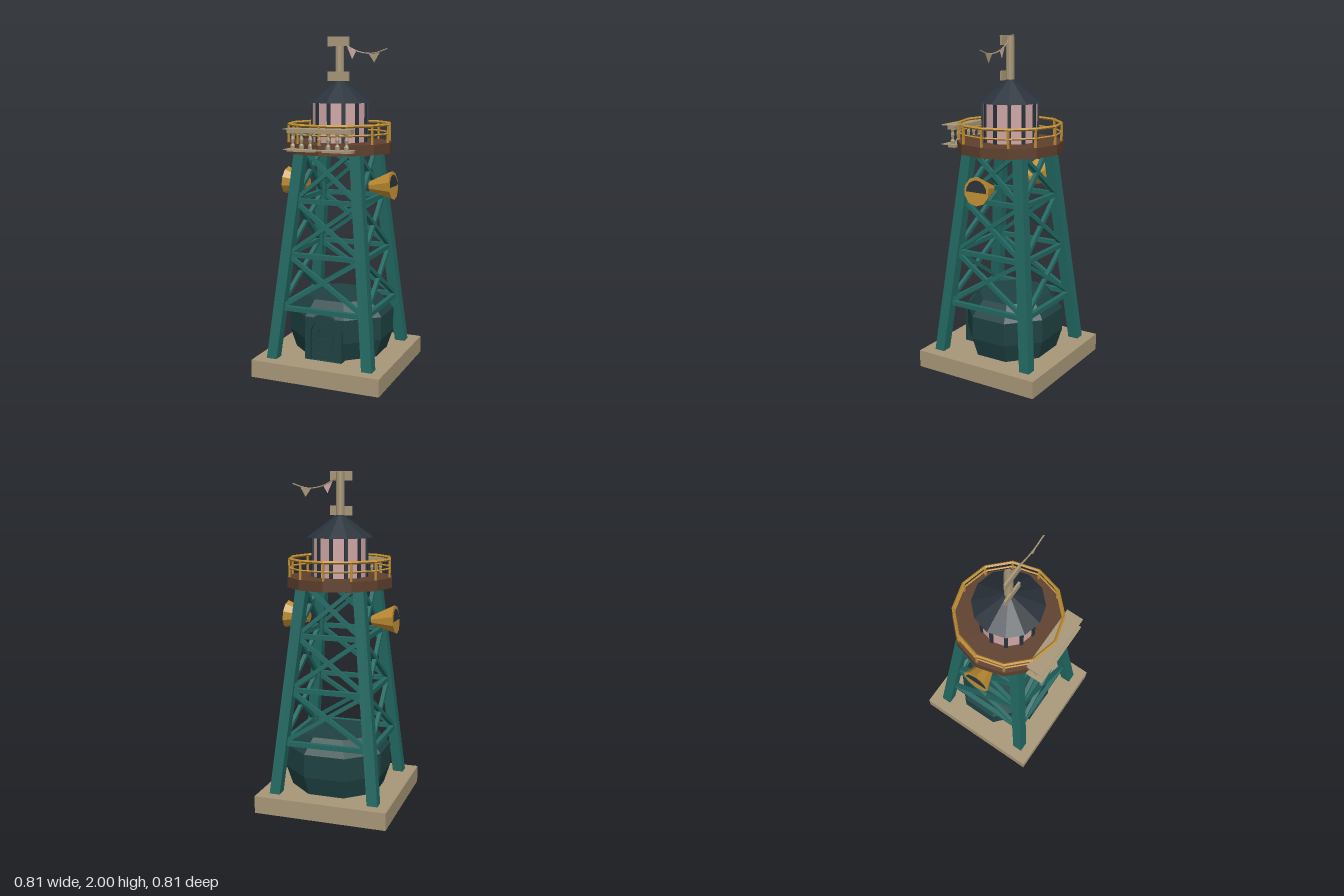
import * as THREE from 'three';

const mat = (name, color, side = THREE.FrontSide) => {
  const m = new THREE.MeshStandardMaterial({ color, side });
  m.name = name;
  return m;
};

export function createModel() {
  const root = new THREE.Group();
  root.name = 'watchTower';
  const tan = mat('weatheredTan', 0xa89778);
  const teal = mat('tealPaint', 0x226862);
  const darkTeal = mat('darkTeal', 0x1f4142);
  const brown = mat('deckBrown', 0x5e3f2c);
  const gold = mat('brassGold', 0xbf8d33);
  const slate = mat('slate', 0x2a323b);
  const pink = mat('pinkGlass', 0xd0a6a6);
  const tanCloth = mat('tanCloth', 0xa89778, THREE.DoubleSide);
  const pinkCloth = mat('pinkCloth', 0xd0a6a6, THREE.DoubleSide);

  // Faceted mesh: unshared vertices give flat normals
  const add = (name, geo, material, parent = root) => {
    const g = geo.index ? geo.toNonIndexed() : geo;
    g.computeVertexNormals();
    const m = new THREE.Mesh(g, material);
    m.name = name;
    parent.add(m);
    return m;
  };
  const box = (name, w, h, d, x, y, z, material, parent) =>
    add(name, new THREE.BoxGeometry(w, h, d).translate(x, y, z), material, parent);
  const bar = (name, a, b, t, material, parent) => {
    const dir = b.clone().sub(a);
    const m = add(name, new THREE.BoxGeometry(t, dir.length(), t), material, parent);
    m.position.copy(a).add(b).multiplyScalar(0.5);
    m.quaternion.setFromUnitVectors(new THREE.Vector3(0, 1, 0), dir.normalize());
    return m;
  };
  const V = (x, y, z) => new THREE.Vector3(x, y, z);

  // Plinth
  box('plinth', 0.806, 0.105, 0.806, 0, 0.0525, 0, tan);

  // Four leaning legs, sheared towards the axis
  const spread = (y) => 0.3027 - 0.105 * (y - 0.105);
  for (const sx of [-1, 1]) for (const sz of [-1, 1]) {
    const g = new THREE.BoxGeometry(0.064, 1.28, 0.064).translate(0, 0.745, 0);
    const p = g.attributes.position;
    for (let i = 0; i < p.count; i++) {
      const c = spread(p.getY(i));
      p.setX(i, p.getX(i) + sx * c);
      p.setZ(i, p.getZ(i) + sz * c);
    }
    add('leg', g, teal);
  }

  // Girders and cross braces on each side
  const levels = [0.41, 0.73, 1.05, 1.36];
  for (let s = 0; s < 4; s++) {
    const side = new THREE.Group();
    side.name = 'bracedSide';
    side.rotation.y = s * Math.PI / 2;
    root.add(side);
    for (let i = 0; i < 3; i++) {
      const y0 = levels[i], y1 = levels[i + 1], c0 = spread(y0), c1 = spread(y1);
      bar('girder', V(-c0, y0, c0), V(c0, y0, c0), 0.028, teal, side);
      for (const k of [-1, 1])
        bar('crossBrace', V(-k * c0, y0, c0), V(k * c1, y1, c1), 0.024, teal, side);
    }
  }

  // Octagonal hut between the legs
  const k = 1 / Math.cos(Math.PI / 8);
  const hutProfile = [[0, 0.105], [0.88, 0.105], [1, 0.22], [1, 0.36], [0.74, 0.45], [0, 0.45]]
    .map(([r, y]) => new THREE.Vector2(r * k, y));
  add('hut', new THREE.LatheGeometry(hutProfile, 8, Math.PI / 8)
    .scale(0.3, 1, 0.27).translate(0, 0, -0.033), darkTeal);

  // Arched door
  const arch = (Cls, w, y0, top) => {
    const s = new Cls();
    s.moveTo(-w, y0);
    s.lineTo(w, y0);
    s.lineTo(w, top - w);
    s.absarc(0, top - w, w, 0, Math.PI, false);
    s.lineTo(-w, y0);
    return s;
  };
  const archPart = (name, outer, inner, z, depth) => {
    const s = arch(THREE.Shape, ...outer);
    if (inner) s.holes.push(arch(THREE.Path, ...inner));
    add(name, new THREE.ExtrudeGeometry(s, { depth, bevelEnabled: false, curveSegments: 6 })
      .translate(0, 0, z), darkTeal);
  };
  archPart('doorFrame', [0.118, 0.105, 0.385], [0.08, 0.106, 0.35], 0.14, 0.118);
  archPart('door', [0.082, 0.105, 0.352], null, 0.14, 0.1);
  archPart('doorWindowFrame', [0.055, 0.18, 0.32], [0.038, 0.195, 0.303], 0.235, 0.013);
  for (const y of [0.14, 0.23])
    box('doorRail', 0.09, 0.014, 0.012, 0, y, 0.244, darkTeal);

  // Deck
  add('deck', new THREE.CylinderGeometry(0.317, 0.317, 0.06, 12).translate(0, 1.36, 0), brown);

  // Brass railing
  for (const [y, t] of [[1.495, 0.009], [1.442, 0.006]])
    add('handrail', new THREE.TorusGeometry(0.303, t, 4, 12)
      .rotateX(Math.PI / 2).translate(0, y, 0), gold);
  for (let i = 0; i < 12; i++) {
    const a = i * Math.PI / 6;
    box('railPost', 0.011, 0.11, 0.011, 0.303 * Math.sin(a), 1.442, 0.303 * Math.cos(a), gold);
  }

  // Front balustrade
  const balustrade = new THREE.Group();
  balustrade.name = 'balustrade';
  root.add(balustrade);
  for (const [top, h] of [[1.482, 0.026], [1.366, 0.016]]) {
    box('plank', 0.4, 0.005, 0.103, 0, top - 0.0025, 0.3045, tan, balustrade);
    box('plankBeam', 0.396, h, 0.05, 0, top - h / 2 - 0.001, 0.287, tan, balustrade);
  }
  const turned = [[0.014, 1.36], [0.014, 1.385], [0.007, 1.395], [0.012, 1.42], [0.007, 1.44], [0.014, 1.46]]
    .map(([r, y]) => new THREE.Vector2(r, y));
  for (let i = -3; i <= 3; i++)
    add('baluster', new THREE.LatheGeometry(turned, 6).translate(i * 0.055, 0, 0.3), tan, balustrade);

  // Lantern room and roof
  add('lanternGlass', new THREE.CylinderGeometry(0.162, 0.162, 0.24, 12).translate(0, 1.505, 0), pink);
  for (let i = 0; i < 12; i++) {
    const a = i * Math.PI / 6;
    add('mullion', new THREE.BoxGeometry(0.02, 0.24, 0.018)
      .translate(0, 1.505, 0.161).rotateY(a), slate);
  }
  add('roof', new THREE.ConeGeometry(0.2, 0.145, 12).translate(0, 1.6925, 0), slate);

  // Mast with two boards
  add('mast', new THREE.CylinderGeometry(0.024, 0.024, 0.25, 10, 1, true).translate(0, 1.87, 0), tanCloth);
  for (const y of [1.772, 1.972])
    box('mastBoard', 0.134, 0.055, 0.012, 0, y, 0.022, tan);

  // Bunting
  const cord = new THREE.CatmullRomCurve3([
    V(0.01, 1.975, 0), V(0.05, 1.945, 0), V(0.12, 1.912, 0.003), V(0.21, 1.902, 0.007), V(0.3, 1.928, 0.01)]);
  add('buntingCord', new THREE.TubeGeometry(cord, 12, 0.004, 5), tan);
  for (const [t, m] of [[[0.048, 1.943, 0.105, 1.915, 0.08, 1.87], pinkCloth],
    [[0.18, 1.903, 0.25, 1.906, 0.217, 1.85], tanCloth]]) {
    const s = new THREE.Shape([0, 2, 4].map((j) => new THREE.Vector2(t[j], t[j + 1])));
    add('pennant', new THREE.ShapeGeometry(s).translate(0, 0, 0.005), m);
  }

  // Signal horns, one on each side
  for (const s of [-1, 1]) {
    const horn = new THREE.Group();
    horn.name = 'horn';
    horn.position.set(s * 0.343, 1.143, 0.01);
    horn.rotation.set(0, s * Math.PI / 2, 0);
    root.add(horn);
    const tilt = -0.09;
    add('hornBell', new THREE.CylinderGeometry(0.085, 0.03, 0.145, 10)
      .translate(0, -0.0725, 0).rotateX(Math.PI / 2 + tilt), gold, horn);
    add('hornMouth', new THREE.CircleGeometry(0.07, 8, 0, Math.PI)
      .translate(0, -0.006, 0.003).rotateX(tilt), slate, horn);
  }
  return root;
}
